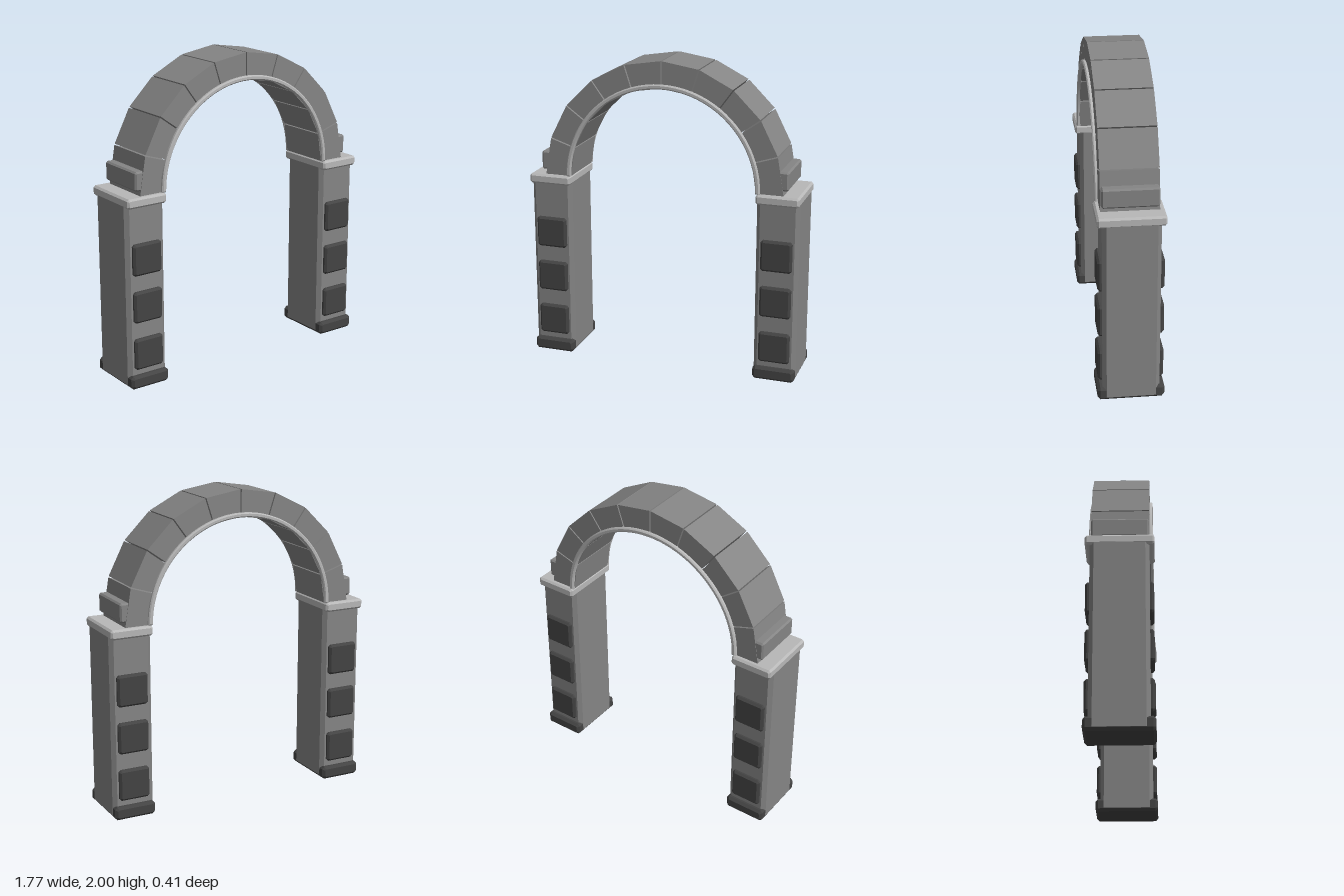
import * as THREE from 'three';
import { toCreasedNormals } from 'three/addons/utils/BufferGeometryUtils.js';

const mat = (color) => new THREE.MeshStandardMaterial({ color });
const stone = mat(0x858585);
const dark = mat(0x444444);
const light = mat(0xb8b8b8);

const SPRING = 1.22; // height of the arch centre
const OUTER = 0.78;
const INNER = 0.61;
const DEPTH = 0.35;

function add(parent, name, geometry, material, x = 0, y = 0, z = 0) {
  const mesh = new THREE.Mesh(geometry, material);
  mesh.name = name;
  mesh.position.set(x, y, z);
  parent.add(mesh);
  return mesh;
}

const outline = (pts) => new THREE.Shape(pts.map(([x, y]) => new THREE.Vector2(x, y)));

// Rectangle with its four corners cut
function cutRect(w, h, c) {
  const a = w / 2, b = h / 2;
  return outline([[a - c, -b], [a, -b + c], [a, b - c], [a - c, b],
    [-a + c, b], [-a, b - c], [-a, -b + c], [-a + c, -b]]);
}

// Box with every edge chamfered, centred on its origin
function chamferBox(w, h, d, c) {
  const g = new THREE.ExtrudeGeometry(cutRect(w, h, c), {
    depth: d - 2 * c, bevelEnabled: true, bevelSegments: 1,
    bevelThickness: c, bevelSize: c, bevelOffset: -c,
  });
  return g.translate(0, 0, -d / 2 + c);
}

// Flat-sided slab of the given outline, centred in z
function slab(shape, depth) {
  return new THREE.ExtrudeGeometry(shape, { depth, bevelEnabled: false }).translate(0, 0, -depth / 2);
}

function makePillar(name, side) {
  const pillar = new THREE.Group();
  pillar.name = name;
  pillar.position.x = side * 0.75;

  // Shaft with chamfered upright edges
  const shaft = slab(cutRect(0.272, DEPTH, 0.024), 1.17).rotateX(-Math.PI / 2);
  add(pillar, 'shaft', shaft, stone, 0, 0.605, 0);
  add(pillar, 'base', chamferBox(0.27, 0.085, 0.41, 0.016), dark, 0, 0.0425, 0);
  add(pillar, 'cap', chamferBox(0.274, 0.062, 0.41, 0.012), light, 0, 1.189, 0);

  // Raised square panels on front and back
  for (const z of [-1, 1]) {
    for (const y of [0.222, 0.527, 0.83]) {
      add(pillar, 'panel', chamferBox(0.2, 0.2, 0.05, 0.013), dark, 0, y, z * 0.175);
    }
  }
  return pillar;
}

function makeArch() {
  const arch = new THREE.Group();
  arch.name = 'arch';
  const step = Math.PI / 10;
  const gap = 0.004;
  // Point on a joint line, shifted sideways to leave the joint open
  const at = (r, a, shift) => [
    r * Math.cos(a) - shift * Math.sin(a),
    SPRING + r * Math.sin(a) + shift * Math.cos(a),
  ];

  // Wedge stones
  for (let i = 1; i < 9; i++) {
    const a = i * step, b = a + step;
    const wedge = outline([at(INNER, a, gap), at(OUTER, a, gap), at(OUTER, b, -gap), at(INNER, b, -gap)]);
    add(arch, 'archStone', slab(wedge, DEPTH), stone);
  }

  // Springer stones with their projecting lugs
  for (const s of [1, -1]) {
    const pts = [[INNER, SPRING], [0.783, SPRING], at(OUTER, step, -gap), at(INNER, step, -gap)];
    const mirrored = s > 0 ? pts : pts.map(([x, y]) => [-x, y]).reverse();
    add(arch, 'springerStone', slab(outline(mirrored), DEPTH), stone);
    add(arch, 'springerLug', chamferBox(0.12, 0.12, 0.344, 0.01), stone, s * 0.752, 1.309, 0);
  }

  // Thin raised rims along the inner edge, front and back
  const ring = new THREE.Shape();
  ring.absarc(0, SPRING, 0.637, 0, Math.PI, false);
  ring.absarc(0, SPRING, 0.608, Math.PI, 0, true);
  const rim = toCreasedNormals(new THREE.ExtrudeGeometry(ring, {
    depth: 0.016, curveSegments: 20, bevelEnabled: true, bevelSegments: 1,
    bevelThickness: 0.007, bevelSize: 0.007, bevelOffset: -0.007,
  }).translate(0, 0, -0.008), 0.4);
  for (const z of [-1, 1]) add(arch, 'archRim', rim, light, 0, 0, z * 0.18);
  return arch;
}

export function createModel() {
  const model = new THREE.Group();
  model.name = 'archway';
  model.add(makePillar('leftPillar', 1), makePillar('rightPillar', -1), makeArch());
  return model;
}
